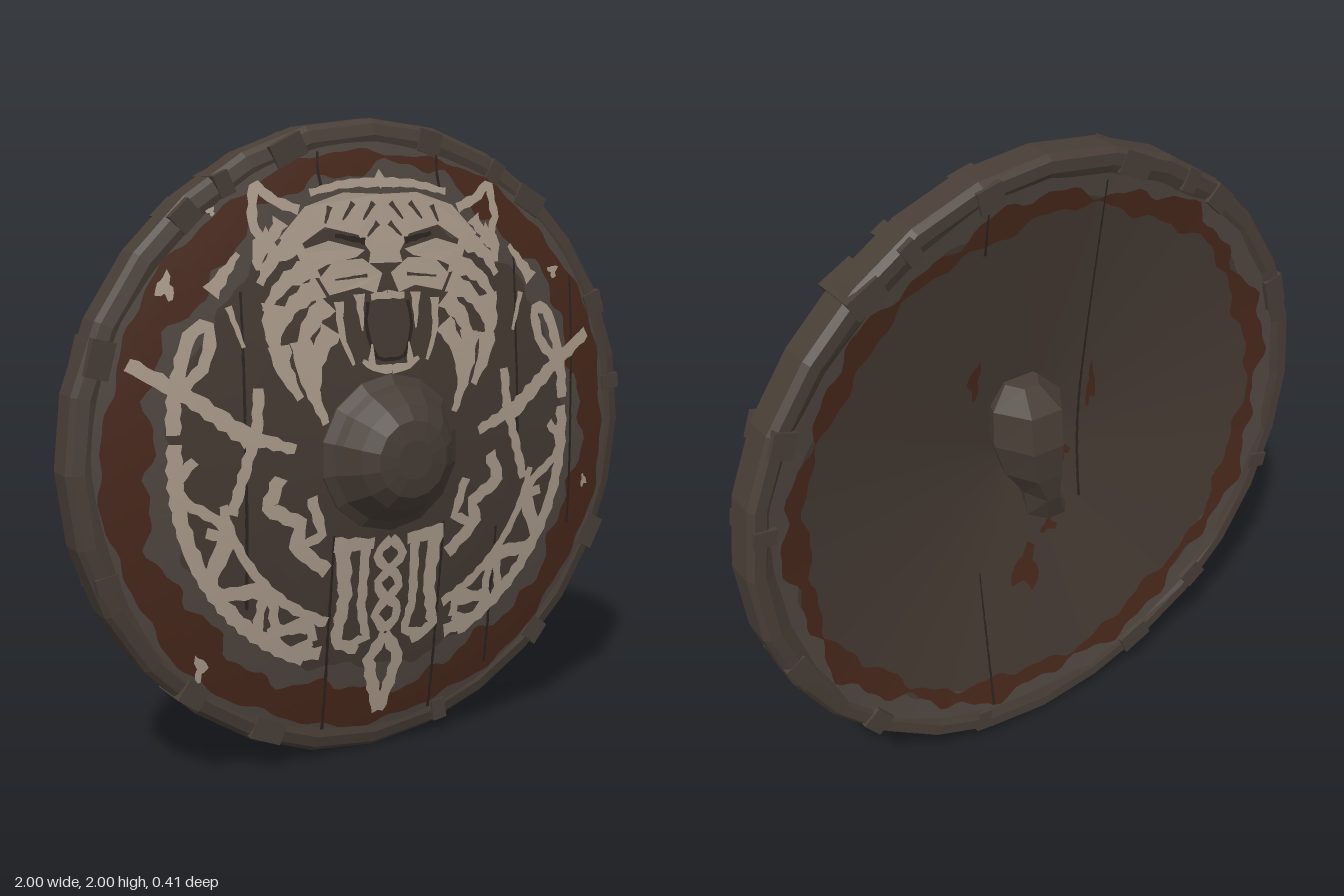
import * as THREE from 'three';

const mat = (name, color, double) => {
  const m = new THREE.MeshStandardMaterial({ color, flatShading: true });
  m.name = name;
  if (double) m.side = THREE.DoubleSide;
  return m;
};
const WOOD = mat('dark wood', 0x453a33);
const LEATHER = mat('rim leather', 0x483e36);
const METAL = mat('boss iron', 0x463c35);
const GREY = mat('worn grey', 0x4f4640, true);
const RED = mat('rust red paint', 0x48281b, true);
const BONE = mat('bone paint', 0xab9c8c, true);
const DARK = mat('seam dark', 0x2b2420, true);

// Domed board: front height and hollow back as a function of radius
const front = r => 0.087 - 0.1 * r - 0.04 * r ** 4;
const back = r => -0.01 - 0.155 * r;
const wave = (a, s) => 0.45 * Math.sin(9 * a + s) + 0.35 * Math.sin(23 * a + 2 * s) + 0.2 * Math.sin(47 * a + 5 * s);

function add(parent, name, geo, material) {
  const m = new THREE.Mesh(geo, material);
  m.name = name;
  parent.add(m);
  return m;
}

// Drape a flat geometry over the board
function drape(geo, off, isBack) {
  const p = geo.attributes.position;
  for (let i = 0; i < p.count; i++) {
    const r = Math.hypot(p.getX(i), p.getY(i) - 1);
    p.setZ(i, isBack ? back(r) - off : front(r) + off);
  }
  geo.computeVertexNormals();
  return geo;
}

function ribbonGeo(left, right) {
  const pos = [], idx = [];
  left.forEach((l, i) => {
    pos.push(...l, 0, ...right[i], 0);
    if (i) idx.push(2 * i - 2, 2 * i - 1, 2 * i, 2 * i - 1, 2 * i + 1, 2 * i);
  });
  const g = new THREE.BufferGeometry();
  g.setAttribute('position', new THREE.Float32BufferAttribute(pos, 3));
  g.setIndex(idx);
  return g;
}

// Brush stroke with slightly rough edges, tapering from w0 to w1
function stroke(pts, w0, w1 = w0, smooth = 0, off = 0.012, isBack = false) {
  const c = new THREE.CatmullRomCurve3(pts.map(p => new THREE.Vector3(p[0], p[1], 0)), false, 'catmullrom', smooth);
  const n = Math.max(3, Math.ceil(c.getLength() / 0.025));
  const s = c.getSpacedPoints(n), left = [], right = [];
  s.forEach((p, i) => {
    const t = s[Math.min(n, i + 1)].clone().sub(s[Math.max(0, i - 1)]).normalize();
    const w = THREE.MathUtils.lerp(w0, w1, i / n) * 0.5;
    const a = w * (1 + 0.2 * Math.sin(i * 2.3 + p.y * 9)), b = w * (1 + 0.2 * Math.sin(i * 3.1 + p.y * 5));
    left.push([p.x - t.y * a, p.y + t.x * a]);
    right.push([p.x + t.y * b, p.y - t.x * b]);
  });
  return drape(ribbonGeo(left, right), off, isBack);
}

const patch = (pts, off = 0.012, isBack = false) =>
  drape(new THREE.ShapeGeometry(new THREE.Shape(pts.map(p => new THREE.Vector2(...p)))), off, isBack);

// Ragged ring of paint
function band(parent, name, material, rIn, rOut, off, isBack) {
  const N = 200, K = 4;
  for (let k = 0; k < K; k++) {
    const edge = t => Array.from({ length: N + 1 }, (_, i) => {
      const a = i / N * Math.PI * 2, r = THREE.MathUtils.lerp(rIn(a), rOut(a), t);
      return [Math.cos(a) * r, 1 + Math.sin(a) * r];
    });
    add(parent, name, drape(ribbonGeo(edge(k / K), edge((k + 1) / K)), off, isBack), material);
  }
}

const blob = (x, y, rx, ry, s) => Array.from({ length: 14 }, (_, i) => {
  const a = i / 14 * Math.PI * 2, k = 1 + 0.35 * Math.sin(3 * a + s) + 0.2 * Math.sin(5 * a + 2 * s);
  return [x + Math.cos(a) * rx * k, y + Math.sin(a) * ry * k];
});

const arc = (r, a0, a1, wob = 0, ph = 0) => Array.from({ length: 15 }, (_, i) => {
  const t = i / 14, a = THREE.MathUtils.degToRad(a0 + (a1 - a0) * t), q = r + wob * Math.sin(t * Math.PI * 5 + ph);
  return [Math.cos(a) * q, 1 + Math.sin(a) * q];
});

function turned(profile, sides) {
  return new THREE.LatheGeometry(profile.map(p => new THREE.Vector2(...p)), sides).rotateX(Math.PI / 2);
}

export function createModel() {
  const root = new THREE.Group();
  root.name = 'roundShield';
  const sub = name => { const g = new THREE.Group(); g.name = name; root.add(g); return g; };

  // Board
  const rs = [0, 0.25, 0.5, 0.7, 0.82, 0.94];
  const board = add(root, 'board', turned([[0, back(0)], [0.94, back(0.94)], ...[...rs].reverse().map(r => [r, front(r)])], 28), WOOD);
  board.position.y = 1;

  // Uneven boxy rim, nearly flush with the board on both sides
  const rimGeo = turned([[0.92, -0.155], [0.95, -0.166], [0.985, -0.166], [1, -0.145], [1, -0.055], [0.985, -0.038], [0.95, -0.028], [0.915, -0.034], [0.92, -0.155]], 28);
  const p = rimGeo.attributes.position;
  for (let i = 0; i < p.count; i++) {
    const x = p.getX(i), y = p.getY(i), a = Math.atan2(y, x + 1e-9);
    const k = Math.hypot(x, y) > 0.93 ? 1 - 0.004 * (1 - Math.cos(4 * a)) : 1 + 0.01 * Math.sin(5 * a);
    p.setXYZ(i, x * k, y * k, p.getZ(i) + 0.004 * Math.sin(6 * a));
  }
  rimGeo.computeVertexNormals();
  add(root, 'rim', rimGeo, LEATHER).position.y = 1;
  const wraps = sub('rimWraps');
  [8, 25, 52, 62, 78, 108, 122, 131, 160, 200, 228, 246, 285, 312, 336].forEach((d, i) => {
    const a = THREE.MathUtils.degToRad(d);
    const w = add(wraps, 'rimWrap', new THREE.BoxGeometry(0.07, 0.05 + 0.03 * (i % 3), 0.148), LEATHER);
    w.position.set(Math.cos(a) * 0.95, 1 + Math.sin(a) * 0.95, -0.097);
    w.rotation.z = a + 0.15 * Math.sin(i * 4);
  });

  // Worn border paint, front and back
  const ring = sub('borderPaint');
  band(ring, 'frontWear', GREY, a => 0.71 + 0.03 * wave(a, 1), () => 0.93, 0.004, false);
  band(ring, 'frontRed', RED, a => 0.785 + 0.045 * wave(a, 2) + 0.08 * Math.max(0, Math.sin(a)) ** 8, a => 0.905 + 0.02 * wave(a, 4), 0.008, false);
  band(ring, 'backWear', GREY, a => 0.85 + 0.02 * wave(a, 3), () => 0.94, 0.003, true);
  band(ring, 'backRed', RED, a => 0.815 + 0.03 * wave(a, 5), a => 0.875 + 0.04 * wave(a, 7), 0.006, true);
  [[0.2, 1.32, 0.02, 0.06, 1], [0.02, 0.56, 0.05, 0.07, 2], [-0.08, 0.68, 0.03, 0.02, 3], [-0.24, 1.15, 0.015, 0.07, 4], [-0.15, 0.93, 0.02, 0.03, 5]]
    .forEach(b => add(ring, 'backFleck', patch(blob(...b), 0.005, true), RED));

  // Plank seams
  const seams = sub('plankSeams');
  [[-0.2, 0.1, 0.75], [0.2, 0.1, 0.75], [-0.48, 0.55, 1.5], [0.42, 0.22, 0.7], [0.75, 0.66, 1.5], [-0.2, 1.8, 1.9], [0.22, 1.78, 1.9], [0.5, 1.0, 1.6]]
    .forEach(([x, a, b]) => add(seams, 'frontSeam', stroke([[x, a], [x - 0.006, (a + b) / 2], [x, b]], 0.011, 0.008, 0, 0.01), DARK));
  [[0.2, 0.12, 0.62], [-0.2, 0.75, 1.88], [0.2, 1.75, 1.88]]
    .forEach(([x, a, b]) => add(seams, 'backSeam', stroke([[x, a], [x, b]], 0.01, 0.005, 0, 0.007, true), DARK));

  // Iron boss
  const boss = add(root, 'boss', turned([[0.245, 0.03], [0.245, 0.07], [0.215, 0.09], [0.2, 0.115], [0.165, 0.165], [0.12, 0.2], [0.06, 0.21], [0, 0.21]], 14), METAL);
  boss.position.y = 0.99;

  // Lumpy grip on the back: half width, depth and sideways shift per row
  const rows = [[1.27, 0.06, 0.08, 0.03], [1.2, 0.125, 0.15, 0.02], [1.08, 0.125, 0.165, 0.02], [0.96, 0.1, 0.145, 0], [0.86, 0.055, 0.12, -0.03], [0.76, 0.075, 0.08, -0.07]];
  const gripGeo = new THREE.CylinderGeometry(1, 1, 1, 7, 5), gp = gripGeo.attributes.position;
  for (let i = 0; i < gp.count; i++) {
    const [y, w, d, sx] = rows[Math.round((0.5 - gp.getY(i)) * 5)], z = gp.getZ(i);
    gp.setXYZ(i, sx + gp.getX(i) * w, y, -0.05 + z * d * (z > 0 ? 0.3 : 1));
  }
  gripGeo.computeVertexNormals();
  add(root, 'grip', gripGeo, LEATHER);

  // Mirrored painted ornament
  const head = sub('beastHead'), knots = sub('knotwork'), blades = sub('crossedBlades'), pendant = sub('pendant');
  for (const s of [1, -1]) {
    const flip = pts => pts.map(([x, y]) => [x * s, y]);
    const line = (g, name, pts, w0, w1, smooth, m = BONE, off) => add(g, name, stroke(flip(pts), w0, w1, smooth, off), m);
    const fill = (g, name, pts) => add(g, name, patch(flip(pts)), BONE);

    // Ear, crown and forehead
    line(head, 'ear', [[0.28, 1.73], [0.36, 1.76], [0.415, 1.81], [0.43, 1.7], [0.39, 1.61]], 0.03, 0.03);
    line(head, 'earFur', [[0.34, 1.7], [0.385, 1.63]], 0.05, 0.015);
    line(head, 'crown', [[0, 1.81], [0.12, 1.805], [0.24, 1.78]], 0.03, 0.02, 0.5);
    fill(head, 'forehead', [[0, 1.775], [0.13, 1.78], [0.26, 1.74], [0.35, 1.65], [0.3, 1.62], [0.2, 1.68], [0.09, 1.655], [0.05, 1.6], [0, 1.62]]);
    [[[0.03, 1.75], [0.07, 1.7]], [[0.1, 1.75], [0.14, 1.7]], [[0.18, 1.74], [0.2, 1.69]], [[0.02, 1.69], [0.06, 1.65]]]
      .forEach(q => line(head, 'foreheadStripe', q, 0.018, 0.006, 0, WOOD, 0.016));
    // Eye, nose and muzzle
    fill(head, 'cheek', [[0.07, 1.61], [0.19, 1.64], [0.3, 1.61], [0.27, 1.54], [0.2, 1.57], [0.1, 1.59]]);
    line(head, 'eye', [[0.07, 1.635], [0.17, 1.655]], 0.02, 0.012, 0, DARK, 0.016);
    fill(head, 'noseBridge', [[0, 1.63], [0.05, 1.61], [0.06, 1.57], [0, 1.57]]);
    fill(head, 'muzzle', [[0.015, 1.54], [0.08, 1.585], [0.18, 1.58], [0.23, 1.53], [0.2, 1.48], [0.1, 1.5], [0.04, 1.48]]);
    line(head, 'whiskerLine', [[0.07, 1.535], [0.18, 1.525]], 0.01, 0.005, 0, WOOD, 0.016);
    line(head, 'mouthEdge', [[0.07, 1.455], [0.08, 1.38], [0.05, 1.29], [0, 1.28]], 0.012, 0.012, 0.5, DARK, 0.01);
    line(head, 'upperFang', [[0.1, 1.48], [0.095, 1.37]], 0.035, 0.006);
    line(head, 'lowerFang', [[0.07, 1.26], [0.065, 1.33]], 0.03, 0.006);
    line(head, 'upperTeeth', [[0, 1.475], [0.06, 1.47]], 0.025, 0.02);
    line(head, 'chin', [[0, 1.25], [0.06, 1.255], [0.1, 1.28]], 0.03, 0.015);
    line(head, 'jaw', [[0.17, 1.46], [0.165, 1.36], [0.13, 1.27]], 0.03, 0.012, 0.5);
    // Ruff of pointed fur tufts
    [[0.28, 1.64, 0.42, 1.52], [0.24, 1.57, 0.41, 1.44], [0.37, 1.65, 0.42, 1.56], [0.23, 1.51, 0.38, 1.36], [0.38, 1.46, 0.36, 1.27],
      [0.21, 1.46, 0.31, 1.27], [0.2, 1.38, 0.26, 1.18], [0.3, 1.35, 0.23, 1.1], [0.37, 1.34, 0.31, 1.18]].forEach(([a, b, c, d]) =>
      line(head, 'ruffTuft', [[a, b], [(a + c) / 2 + 0.02, (b + d) / 2 + 0.015], [c, d]], 0.07, 0.022, 0.5));

    // Crossed blades
    line(blades, 'blade', [[0.82, 1.31], [0.64, 1.2], [0.47, 1.07]], 0.04, 0.055);
    line(blades, 'crossguard', [[0.44, 1.22], [0.45, 1.1], [0.53, 0.85]], 0.035, 0.035);
    line(blades, 'hilt', [[0.5, 1.09], [0.33, 1.03]], 0.05, 0.03);
    line(blades, 'angularHook', [[0.38, 0.95], [0.42, 0.86], [0.31, 0.8], [0.33, 0.73], [0.22, 0.64]], 0.045, 0.045);
    line(blades, 'angularHook', [[0.28, 0.88], [0.24, 0.76], [0.33, 0.72]], 0.035, 0.03);

    // Knotwork border
    line(knots, 'outerBand', arc(0.7, 6, -66), 0.045, 0.045, 0.5);
    line(knots, 'innerBand', arc(0.57, -12, -68), 0.025, 0.035, 0.5);
    line(knots, 'braid', arc(0.64, 2, -66, 0.055, 0), 0.032, 0.032, 0.5);
    line(knots, 'braid', arc(0.64, -18, -66, 0.055, Math.PI), 0.032, 0.032, 0.5);
    line(knots, 'upperLoop', [[0.7, 1.1], [0.69, 1.22], [0.64, 1.38], [0.58, 1.4], [0.6, 1.3], [0.66, 1.24]], 0.045, 0.035, 0.5);
    line(knots, 'upperStroke', [[0.57, 1.5], [0.48, 1.61]], 0.05, 0.015);
    line(knots, 'upperStroke', [[0.52, 1.46], [0.48, 1.34]], 0.02, 0.012);
    line(knots, 'endKnot', [[0.23, 0.37], [0.36, 0.4], [0.4, 0.47], [0.28, 0.46]], 0.045, 0.03, 0.4);

    // Pendant below the boss
    line(pendant, 'pendantTop', [[0.2, 0.72], [0.06, 0.71]], 0.05, 0.035);
    line(pendant, 'pendantSide', [[0.17, 0.72], [0.155, 0.55], [0.18, 0.4], [0.1, 0.36]], 0.055, 0.035);
    line(pendant, 'pendantInner', [[0.09, 0.71], [0.095, 0.5], [0.07, 0.4], [0.14, 0.38]], 0.035, 0.03);
    line(pendant, 'pendantBraid', [[0, 0.72], [0.045, 0.66], [-0.04, 0.57], [0.04, 0.48], [0, 0.41]], 0.032, 0.032, 0.5);
    line(pendant, 'pendantPoint', [[0, 0.4], [0.055, 0.32], [0.035, 0.24], [0, 0.13]], 0.04, 0.045);
  }
  add(head, 'crownTip', patch([[0, 1.85], [-0.02, 1.82], [0, 1.79], [0.02, 1.82]], 0.014), BONE);
  [[-0.62, 0.38, 0.018, 0.04, 1], [0.82, 0.8, 0.014, 0.02, 2], [0.87, 0.6, 0.012, 0.012, 3], [-0.7, 1.52, 0.025, 0.035, 4], [-0.55, 1.73, 0.012, 0.012, 5], [0.67, 1.52, 0.02, 0.02, 6]]
    .forEach(b => add(knots, 'paintFleck', patch(blob(...b)), BONE));
  return root;
}
